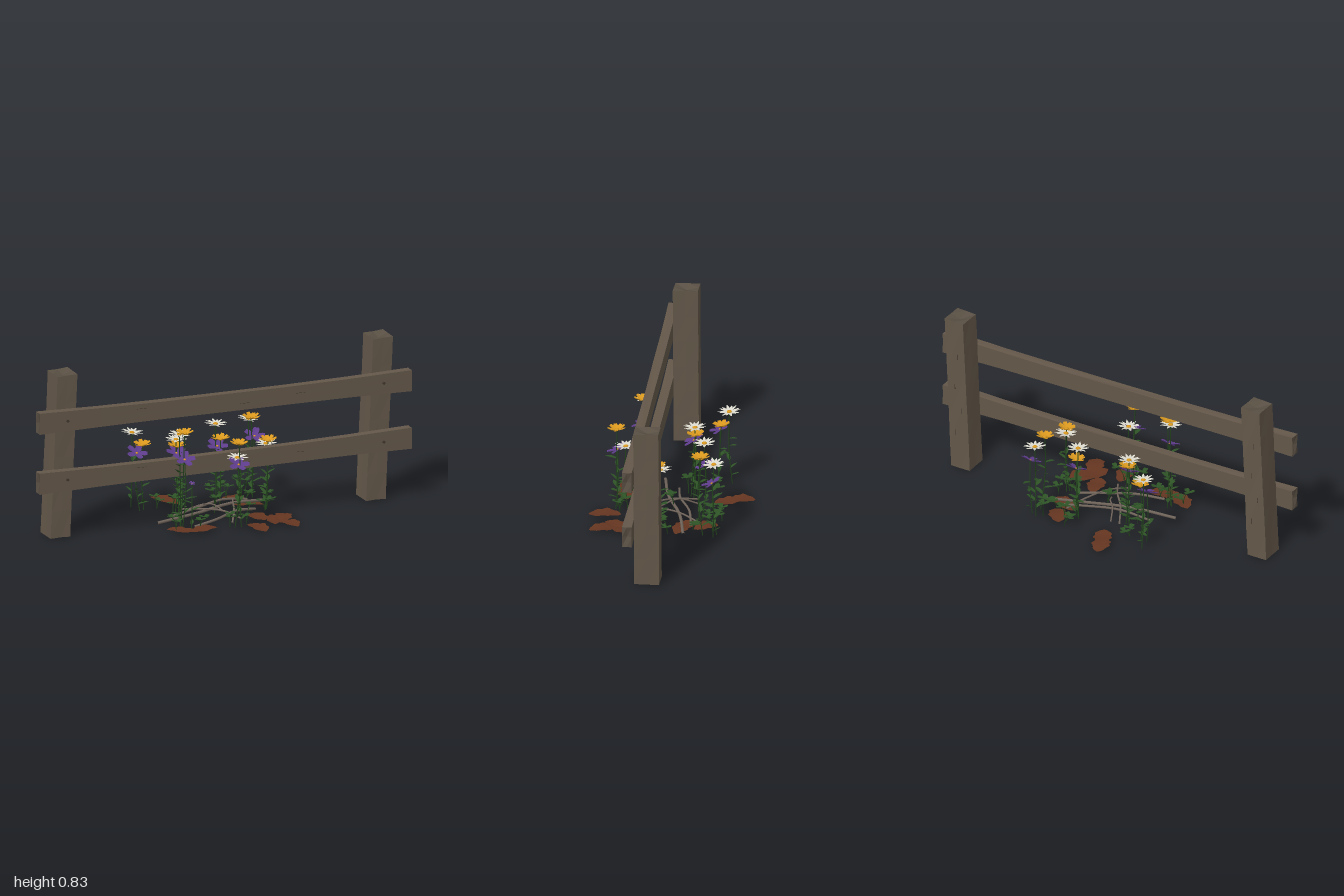
import * as THREE from 'three';
import { mergeGeometries } from 'three/addons/utils/BufferGeometryUtils.js';

const V = (x, y, z) => new THREE.Vector3(x, y, z);
const paint = (name, color, side = THREE.FrontSide) => new THREE.MeshStandardMaterial({ name, color, side });
const mats = {
  wood: paint('weathered wood', 0x635749),
  endGrain: paint('end grain', 0x5a5044),
  crack: paint('dark crack', 0x40372e),
  twig: paint('dry twig', 0x70645a),
  stem: paint('stem green', 0x23451d),
  leaf: paint('leaf green', 0x2d5225, THREE.DoubleSide),
  dead: paint('fallen leaf brown', 0x643520, THREE.DoubleSide),
  gold: paint('golden petal', 0xd9981e, THREE.DoubleSide),
  white: paint('white petal', 0xdad8cc, THREE.DoubleSide),
  violet: paint('violet petal', 0x5e3c8c, THREE.DoubleSide),
};

let seed = 11;
const rnd = (a = 0, b = 1) => {
  seed = (seed * 16807) % 2147483647;
  return a + (b - a) * (seed / 2147483647);
};

function add(group, name, geos, mat) {
  const mesh = new THREE.Mesh(Array.isArray(geos) ? mergeGeometries(geos) : geos, mat);
  mesh.name = name;
  group.add(mesh);
}

// Moves each vertex by a rule
function warp(geo, rule) {
  const p = geo.attributes.position, v = V(0, 0, 0);
  for (let i = 0; i < p.count; i++) {
    rule(v.fromBufferAttribute(p, i));
    p.setXYZ(i, v.x, v.y, v.z);
  }
  geo.computeVertexNormals();
  return geo;
}

// Blade growing along +z from the origin; outline(t) gives its half width factor
function blade(length, width, lift, outline, segs = 4) {
  const geo = new THREE.PlaneGeometry(2, 1, 2, segs).rotateX(-Math.PI / 2).translate(0, 0, 0.5);
  return warp(geo, v => {
    const t = v.z, w = outline(t);
    v.y = lift * t * t + Math.abs(v.x) * w * width * 0.15;
    v.x *= w * width / 2;
    v.z = t * length;
  });
}

// Copy of a geometry turned to a heading, raised by a pitch and put in place
function placed(geo, pos, yaw, pitch = 0, size = 1) {
  const q = new THREE.Quaternion().setFromEuler(new THREE.Euler(-pitch, yaw, 0, 'YXZ'));
  return geo.clone().applyMatrix4(new THREE.Matrix4().compose(pos, q, V(size, size, size)));
}

const oval = t => Math.max(0.06, Math.sin(Math.PI * Math.min(1, 0.06 + t * 0.94)) ** 0.7);
const broad = t => 0.2 + 0.8 * Math.sin(Math.PI * (0.1 + 0.78 * t)) ** 0.8 * (0.4 + 0.6 * t);
const lobed = t => Math.max(0.08, Math.sin(Math.PI * t) ** 0.55 * (0.9 + 0.1 * Math.sin(t * 19)));

const leafBlade = blade(0.05, 0.02, -0.003, oval);
const clover = blade(0.03, 0.032, 0.003, broad);
const kinds = {
  daisy: { n: 14, petal: blade(0.057, 0.015, 0.004, oval), mat: mats.white, heart: 0.013 },
  golden: { n: 9, petal: blade(0.045, 0.027, 0.012, broad), mat: mats.gold, heart: 0.012 },
  violet: { n: 5, petal: blade(0.054, 0.042, 0.004, broad), mat: mats.violet, heart: 0.006 },
};

// Bloom with a ring of petals and a domed heart
function bloom(kind, pos, size) {
  const k = kinds[kind], g = new THREE.Group();
  g.name = kind + 'Bloom';
  const petals = [], turn = rnd(0, 6);
  for (let i = 0; i < k.n; i++) {
    petals.push(placed(k.petal, V(0, 0, 0), turn + i * Math.PI * 2 / k.n, 0.06 + 0.1 * (i % 2)));
  }
  add(g, 'petals', petals, k.mat);
  add(g, 'heart', new THREE.SphereGeometry(k.heart, 10, 6).scale(1, 0.5, 1).translate(0, 0.004, 0), mats.gold);
  g.position.copy(pos);
  g.rotation.set(kind === 'violet' ? 0.46 : 0.08, 0, rnd(-0.1, 0.1));
  g.scale.setScalar(size);
  return g;
}

// Flower: bent stem, leaves up its sides, bloom on top
function flower(kind, x, y, z, size = 1) {
  const g = new THREE.Group();
  g.name = kind + 'Flower';
  const curve = new THREE.CatmullRomCurve3([
    V(x + rnd(-0.02, 0.02), 0.005, z + rnd(-0.015, 0.015)),
    V(x + rnd(-0.01, 0.01), y * 0.5, z + rnd(-0.01, 0.01)), V(x, y, z)]);
  add(g, 'stem', new THREE.TubeGeometry(curve, 8, 0.0026, 5), mats.stem);
  const leaves = [], count = Math.round(y / 0.06);
  for (let i = 0; i < count; i++) {
    const t = 0.12 + 0.62 * i / count;
    leaves.push(placed(leafBlade, curve.getPoint(t), i * 2.5 + rnd(0, 6), rnd(0.2, 0.7), rnd(0.75, 1.2)));
  }
  add(g, 'stemLeaves', leaves, mats.leaf);
  g.add(bloom(kind, V(x, y, z), size));
  return g;
}

// Timber with six bays along its length, slightly uneven and flat shaded
function timber(size, axis, rule) {
  const segs = [2, 2, 2];
  segs[axis] = 6;
  const geo = warp(new THREE.BoxGeometry(...size, ...segs), v => {
    const s = v.x * 37 + v.y * 53 + v.z * 71;
    const jitter = V(Math.sin(s), Math.sin(s * 1.7), Math.sin(s * 2.3)).multiplyScalar(0.001);
    rule(v);
    v.add(jitter);
  }).toNonIndexed();
  geo.computeVertexNormals();
  return geo;
}

// Box face materials, with end grain on the two ends of an axis
const grain = axis => Array.from({ length: 6 }, (_, i) => (i >> 1) === axis ? mats.endGrain : mats.wood);

export function createModel() {
  const model = new THREE.Group();
  model.name = 'fenceWithWildflowers';

  // Fence: two leaning posts
  const fence = new THREE.Group();
  fence.name = 'fence';
  model.add(fence);
  for (const [side, cx] of [['right', -0.865], ['left', 0.822]]) {
    add(fence, side + 'Post', timber([0.105, 0.82, 0.124], 1, v => {
      const inner = Math.abs(v.x) < 0.01 && Math.abs(v.z) < 0.01;
      const t = v.y / 0.82 + 0.5;
      v.y += 0.412;
      if (t > 0.99) v.y += inner ? -0.01 : 0.004 + v.x * 0.05 - v.z * 0.02;
      v.x += cx + 0.038 * t;
      v.z += 0.013;
    }), grain(1));
  }

  // Two sagging rails, thinner at mid span
  for (const [name, y, rise] of [['upperRail', 0.605, -0.002], ['lowerRail', 0.305, 0.004]]) {
    add(fence, name, timber([1.99, 0.106, 0.047], 0, v => {
      const m = 1 - v.x * v.x;
      const cap = Math.abs(v.x) > 0.99 && Math.abs(v.y) < 0.01 && Math.abs(v.z) < 0.01;
      v.y = y + v.y * (1 - 0.16 * m) + rise * v.x - 0.003 * m;
      v.z = 0.097 + v.z * (1 - 0.05 * m);
      if (cap) v.x *= 0.99;
    }), grain(0));
    for (const x of [-0.847, 0.843]) {
      add(fence, 'nail', new THREE.CylinderGeometry(0.007, 0.007, 0.02, 8)
        .rotateX(Math.PI / 2).translate(x, y + 0.003, 0.119), mats.crack);
    }
    const cracks = [];
    for (const [x, dy] of [[-0.45, 0.02], [0.1, -0.015], [0.4, 0.004]]) {
      cracks.push(new THREE.BoxGeometry(0.05, 0.0015, 0.002).translate(x, y + dy, 0.1195));
    }
    add(fence, 'railCracks', cracks, mats.crack);
  }

  // Short splits on the backs of the posts
  const splits = [];
  for (const cx of [-0.865, 0.822]) {
    for (const [dx, y] of [[0.02, 0.2], [-0.02, 0.33], [0.01, 0.46], [-0.01, 0.63]]) {
      splits.push(new THREE.BoxGeometry(0.0015, 0.03, 0.004).translate(cx + dx + 0.046 * y, y, -0.049));
    }
  }
  add(fence, 'postCracks', splits, mats.crack);

  // Wildflowers
  const flowers = new THREE.Group();
  flowers.name = 'wildflowers';
  model.add(flowers);
  const beds = {
    golden: [[-0.238, 0.48, 0.16], [0.01, 0.425, 0.26], [0.265, 0.413, -0.18], [-0.3, 0.328, -0.22],
      [0.095, 0.328, -0.165], [-0.165, 0.335, -0.11], [0.265, 0.353, 0.03]],
    daisy: [[-0.26, 0.475, 0.145], [0.02, 0.343, 0.215], [0.28, 0.388, -0.25], [-0.34, 0.388, -0.255],
      [0.075, 0.405, -0.18], [-0.17, 0.373, -0.105], [0.26, 0.335, 0.015]],
    violet: [[-0.24, 0.35, 0.165], [0.01, 0.32, 0.255], [0.085, 0.29, -0.185], [-0.335, 0.295, -0.21],
      [0.31, 0.3, -0.245], [-0.17, 0.305, -0.1], [-0.22, 0.24, 0.21, 0.3]],
  };
  for (const kind in beds) for (const spot of beds[kind]) flowers.add(flower(kind, ...spot));

  // Low clover sprigs
  const sprigStems = [], sprigLeaves = [];
  const sprigs = [[0.1, -0.27], [0.14, -0.2], [-0.23, -0.2], [-0.2, -0.07], [0.28, -0.02], [0.22, -0.14],
    [0, -0.02], [-0.3, 0.2], [-0.17, 0.2], [0.06, 0.24], [-0.03, 0.24], [0.24, 0.04], [0.24, -0.24]];
  for (const [x, z] of sprigs) for (let i = 0; i < 2; i++) {
    const top = V(x + rnd(-0.03, 0.03), rnd(0.035, 0.1), z + rnd(-0.03, 0.03));
    const path = new THREE.QuadraticBezierCurve3(V(x, 0.004, z), V(x, top.y * 0.8, z), top);
    sprigStems.push(new THREE.TubeGeometry(path, 4, 0.002, 4));
    for (let k = 0; k < 3; k++) sprigLeaves.push(placed(clover, top, i + k * 2.1, 0.15));
  }
  add(flowers, 'cloverStems', sprigStems, mats.stem);
  add(flowers, 'cloverLeaves', sprigLeaves, mats.leaf);

  // Crossed twigs: start x, z, end x, z, height, radius
  const twigs = [[-0.34, 0.06, 0.3, -0.1, 0.025, 0.008], [-0.2, 0.19, 0.2, 0.02, 0.022, 0.007],
    [-0.13, -0.13, 0.06, 0.18, 0.035, 0.005], [0.0, 0.2, 0.16, -0.15, 0.04, 0.005],
    [-0.24, -0.02, 0.22, -0.13, 0.035, 0.006], [-0.08, -0.13, 0.02, 0.05, 0.045, 0.004]];
  add(model, 'twigs', twigs.map(([x0, z0, x1, z1, h, r]) => new THREE.TubeGeometry(
    new THREE.CatmullRomCurve3([V(x0, r + 0.004, z0),
      V(x0 * 0.65 + x1 * 0.35, h, z0 * 0.65 + z1 * 0.35 + 0.015),
      V(x0 * 0.3 + x1 * 0.7, h + 0.006, z0 * 0.3 + z1 * 0.7 - 0.01), V(x1, h * 0.6, z1)]), 10, r, 6)), mats.twig);

  // Fallen leaves: middle x, z, heading, length
  const fallen = [[-0.15, -0.34, 0.2, 0.13], [-0.12, -0.275, 0.4, 0.14], [0.2, -0.09, 1.2, 0.17], [0.18, -0.2, 0.6, 0.13],
    [-0.28, 0.22, 0.9, 0.15], [-0.17, 0.24, 1.8, 0.16], [0.09, 0.31, 0.1, 0.16], [0.22, 0.22, -0.4, 0.17],
    [0.27, 0.2, 2.6, 0.15], [0.26, 0.3, 0.3, 0.14], [0.16, 0.14, 0.2, 0.14]];
  add(model, 'fallenLeaves', fallen.map(([x, z, yaw, len], i) => {
    const geo = warp(blade(len, 0.098, 0, lobed, 14), v => {
      v.y = 0.005 + v.y * 0.6 + 0.005 * Math.sin(v.z * 25 + i) ** 2;
      v.z -= len / 2;
    });
    return placed(geo, V(x, 0, z), yaw);
  }), mats.dead);

  return model;
}
